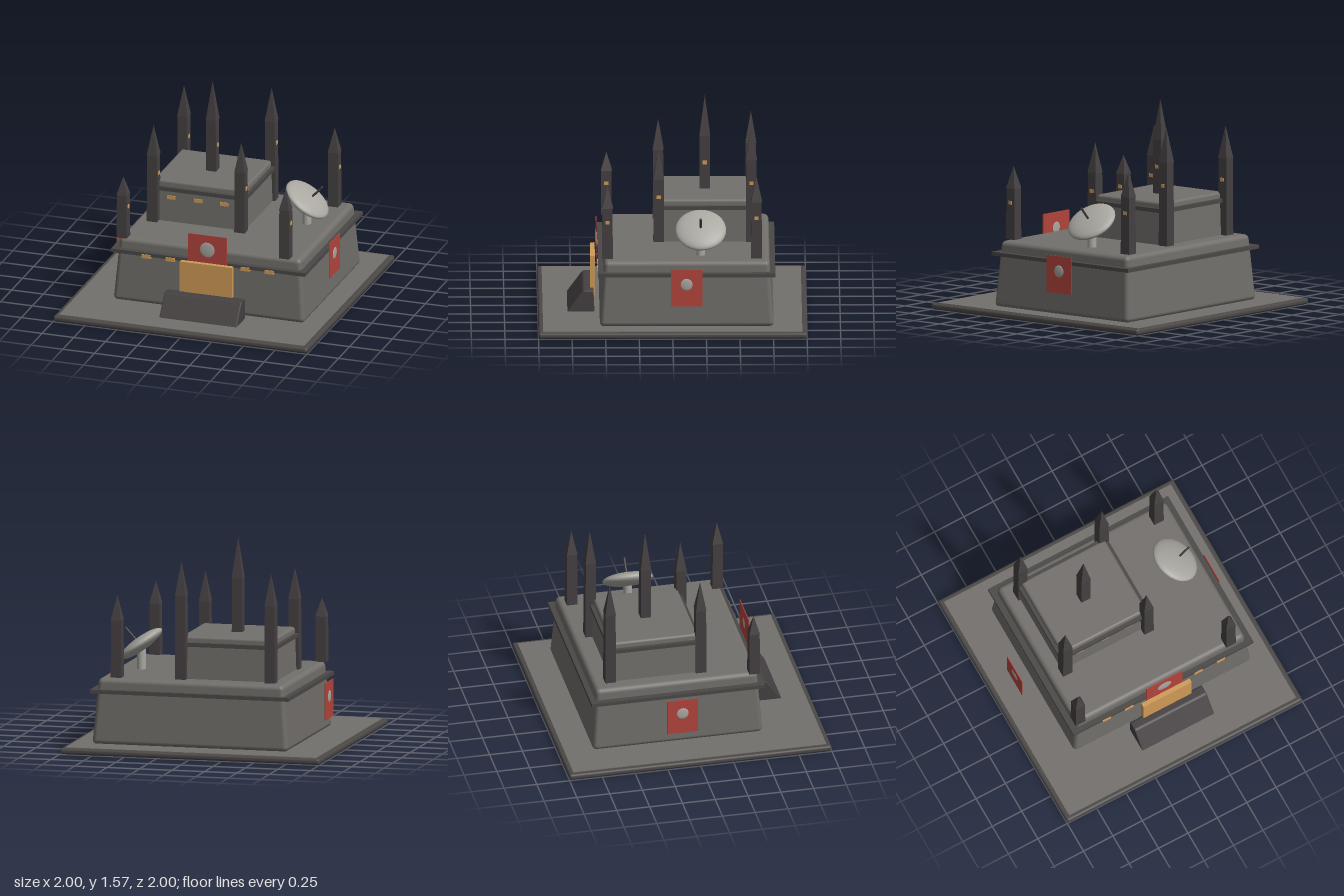
import * as THREE from 'three';
import { RoundedBoxGeometry } from 'three/addons/geometries/RoundedBoxGeometry.js';

const mat = (name, color, side = THREE.FrontSide) => {
  const m = new THREE.MeshStandardMaterial({ color, side });
  m.name = name;
  return m;
};

export function createModel() {
  const stone = mat('stone grey', 0x73706c);
  const trim = mat('dark trim', 0x4b4846);
  const dark = mat('dark tower', 0x454041);
  const amber = mat('amber light', 0xd09c58);
  const red = mat('banner red', 0xb3443c);
  const pale = mat('pale metal', 0xa9a7a0);

  const model = new THREE.Group();
  const add = (parent, name, geo, material, x = 0, y = 0, z = 0) => {
    const mesh = new THREE.Mesh(geo, material);
    mesh.name = name;
    mesh.position.set(x, y, z);
    parent.add(mesh);
    return mesh;
  };
  const box = (w, h, d) => new THREE.BoxGeometry(w, h, d);

  // Rounded box whose walls lean inwards towards the top
  const battered = (w, h, d, r, topX, topZ) => {
    const geo = new RoundedBoxGeometry(w, h, d, 3, r);
    const p = geo.attributes.position;
    for (let i = 0; i < p.count; i++) {
      const t = p.getY(i) / h + 0.5;
      p.setX(i, p.getX(i) * (1 + (topX - 1) * t));
      p.setZ(i, p.getZ(i) * (1 + (topZ - 1) * t));
    }
    return geo;
  };

  // Ground slab
  add(model, 'baseSlab', new RoundedBoxGeometry(2, 0.045, 2, 3, 0.018), trim, 0, 0.0225, 0);
  add(model, 'groundPlate', box(1.93, 0.02, 1.93), stone, 0, 0.04, 0);

  // Lower and upper storeys with their ledges
  const cx = 0.065, cz = -0.105;
  add(model, 'lowerStorey', battered(1.51, 0.495, 1.3, 0.035, 0.945, 0.945), stone, cx, 0.2925, cz);
  add(model, 'lowerLedge', box(1.53, 0.028, 1.32), trim, cx, 0.444, cz);
  const ux = -0.175, uz = -0.245;
  add(model, 'upperStorey', battered(0.735, 0.34, 0.67, 0.02, 0.965, 0.96), stone, ux, 0.69, uz);
  add(model, 'upperLedge', box(0.765, 0.03, 0.7), trim, ux, 0.8, uz);

  // Square towers with spires: x, z, foot, eaves, tip
  const towers = [
    [-0.52, -0.59, 0.54, 1.12, 1.36], [0.17, -0.59, 0.54, 1.17, 1.43],
    [-0.52, 0.1, 0.54, 1.07, 1.3], [0.17, 0.1, 0.54, 1.02, 1.25],
    [ux, uz, 0.54, 1.265, 1.57],
    [-0.625, 0.485, 0.54, 0.88, 1.02], [0.655, 0.485, 0.54, 0.925, 1.09],
    [0.655, -0.625, 0.54, 0.97, 1.16],
  ];
  for (const [x, z, foot, eaves, tip] of towers) {
    const tower = new THREE.Group();
    tower.name = 'tower';
    tower.position.set(x, 0, z);
    model.add(tower);
    const h = eaves - foot;
    const shaft = new THREE.CylinderGeometry(0.0535, 0.0575, h, 4, 1).toNonIndexed();
    shaft.rotateY(Math.PI / 4);
    shaft.computeVertexNormals();
    add(tower, 'towerShaft', shaft, dark, 0, foot + h / 2, 0);
    const spire = new THREE.ConeGeometry(0.0575, tip - eaves, 4, 1).toNonIndexed();
    spire.rotateY(Math.PI / 4);
    spire.computeVertexNormals();
    add(tower, 'spire', spire, dark, 0, (eaves + tip) / 2, 0);
    add(tower, 'towerWindow', box(0.009, 0.027, 0.032), amber, 0.039, foot + 0.72 * h, 0);
  }

  // Lit windows on the front walls
  for (const x of [-0.42, -0.23, 0.36, 0.55])
    add(model, 'lowerWindow', box(0.07, 0.03, 0.04), amber, x, 0.431, 0.541);
  for (const x of [-0.385, -0.175, 0.03])
    add(model, 'upperWindow', box(0.065, 0.028, 0.009), amber, x, 0.73, 0.083);

  // Gate and the ramp before it
  add(model, 'gate', box(0.41, 0.31, 0.035), amber, 0.068, 0.294, 0.593);
  const side = new THREE.Shape();
  side.moveTo(0.785, 0.045);
  side.lineTo(0.675, 0.195);
  side.quadraticCurveTo(0.665, 0.21, 0.648, 0.21);
  side.lineTo(0.605, 0.21);
  side.quadraticCurveTo(0.587, 0.21, 0.586, 0.195);
  side.lineTo(0.58, 0.045);
  const rampGeo = new THREE.ExtrudeGeometry(side, {
    depth: 0.594, bevelThickness: 0.008, bevelSize: 0.006, bevelOffset: -0.006, bevelSegments: 2,
  });
  rampGeo.rotateY(-Math.PI / 2);
  const ramp = add(model, 'ramp', rampGeo, dark, 0.362, 0, 0);
  // Extrusion runs along -x with the profile along +z
  ramp.position.x = 0.362;

  // Banners with a plain round boss
  const banner = (x, y, z, w, h, bossY, bossR, turn) => {
    const g = new THREE.Group();
    g.name = 'banner';
    g.position.set(x, y, z);
    g.rotation.y = turn;
    model.add(g);
    add(g, 'bannerCloth', box(w, h, 0.006), red);
    const boss = add(g, 'bannerBoss', new THREE.SphereGeometry(bossR, 16, 12), pale, 0, bossY - y, 0.002);
    boss.scale.z = 0.007 / bossR;
  };
  banner(cx, 0.523, 0.565, 0.305, 0.285, 0.55, 0.06, 0);
  banner(0.834, 0.35, -0.103, 0.235, 0.28, 0.376, 0.046, Math.PI / 2);
  banner(-0.838, 0.35, -0.103, 0.235, 0.28, 0.376, 0.046, -Math.PI / 2);

  // Dish on a post, tipped towards +x
  add(model, 'dishPost', new THREE.CylinderGeometry(0.033, 0.033, 0.18, 20), pale, 0.58, 0.63, -0.21);
  const dish = new THREE.Group();
  dish.name = 'dish';
  dish.position.set(0.583, 0.73, -0.21);
  dish.rotation.z = -0.64;
  model.add(dish);
  const bowl = add(dish, 'dishBowl', new THREE.SphereGeometry(0.19, 32, 20), pale);
  bowl.scale.y = 0.27;
  const feed = add(dish, 'dishFeed', new THREE.CylinderGeometry(0.008, 0.008, 0.13, 8), dark, 0.02, 0.1, 0);
  feed.rotation.z = -0.1;

  return model;
}
